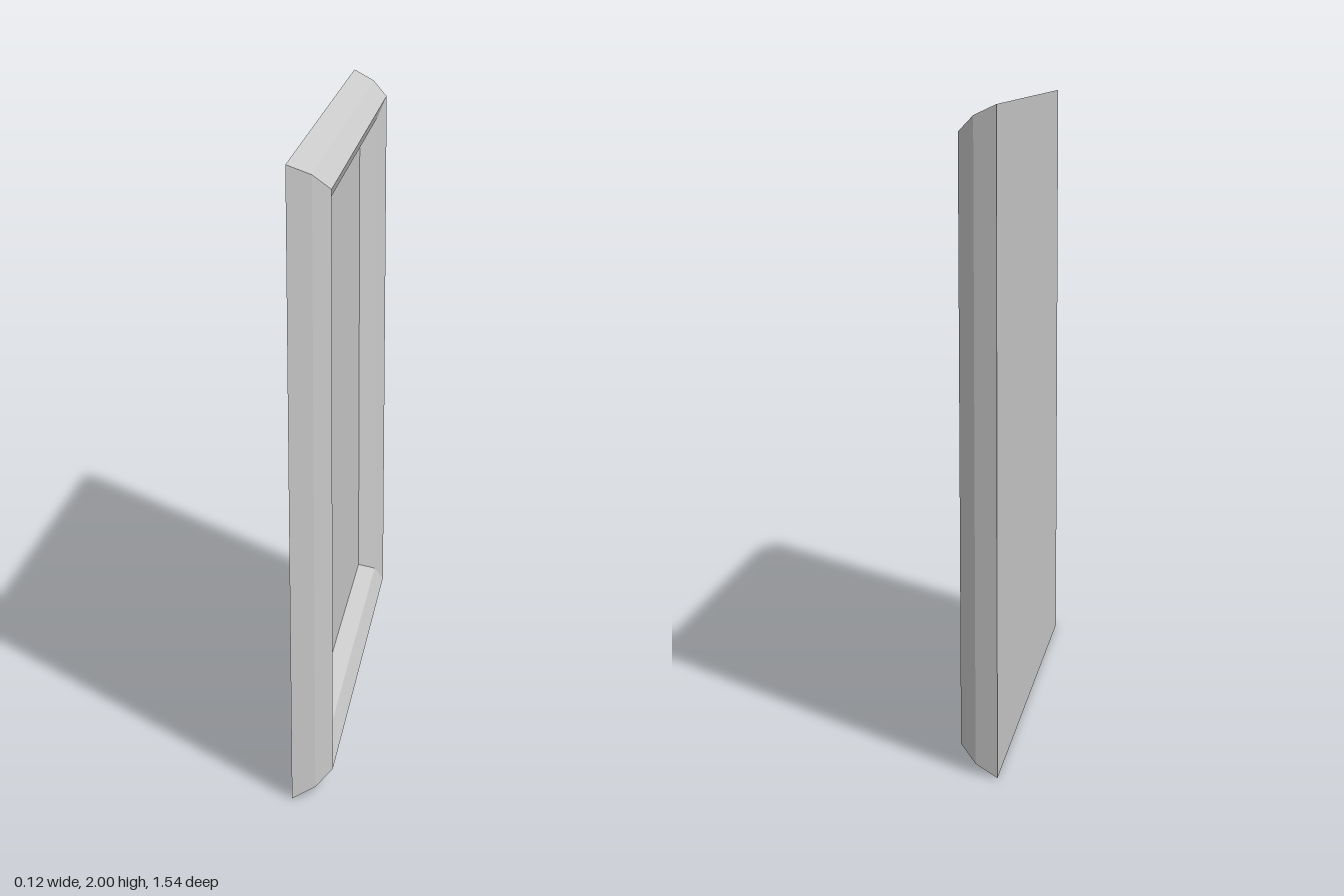
import * as THREE from 'three';

const material = new THREE.MeshStandardMaterial({ color: 0xcccccc, flatShading: true });

// Moulding profile from the outer back edge to the panel: depth x, half height, half width
const PROFILE = [
  { x: -0.06, h: 1.0, w: 0.77 },
  { x: 0.01, h: 0.968, w: 0.745 },
  { x: 0.06, h: 0.92, w: 0.71 },
  { x: 0.034, h: 0.855, w: 0.655 },
  { x: -0.02, h: 0.817, w: 0.598 },
];

// Corner signs [z, y], counter-clockwise as seen from +x
const CORNERS = [[1, -1], [-1, -1], [-1, 1], [1, 1]];

function corner(p, k) {
  const [sz, sy] = CORNERS[k % 4];
  return [p.x, 1 + sy * p.h, sz * p.w];
}

function quadMesh(name, quads) {
  const positions = [];
  for (const [a, b, c, d] of quads) positions.push(...a, ...b, ...c, ...a, ...c, ...d);
  const geometry = new THREE.BufferGeometry();
  geometry.setAttribute('position', new THREE.Float32BufferAttribute(positions, 3));
  geometry.computeVertexNormals();
  const mesh = new THREE.Mesh(geometry, material);
  mesh.name = name;
  return mesh;
}

export function createModel() {
  const model = new THREE.Group();
  model.name = 'pictureFrame';

  // Four mitred rails, each sweeping the profile between two corners
  ['bottomRail', 'backRail', 'topRail', 'frontRail'].forEach((name, k) => {
    const quads = [];
    for (let i = 0; i < PROFILE.length - 1; i++) {
      const outer = PROFILE[i], inner = PROFILE[i + 1];
      quads.push([corner(outer, k), corner(outer, k + 1), corner(inner, k + 1), corner(inner, k)]);
    }
    model.add(quadMesh(name, quads));
  });

  // Recessed picture panel facing +x, flat backing facing -x
  const inner = PROFILE[PROFILE.length - 1];
  model.add(quadMesh('picturePanel', [[0, 1, 2, 3].map((k) => corner(inner, k))]));
  model.add(quadMesh('backing', [[3, 2, 1, 0].map((k) => corner(PROFILE[0], k))]));

  return model;
}
